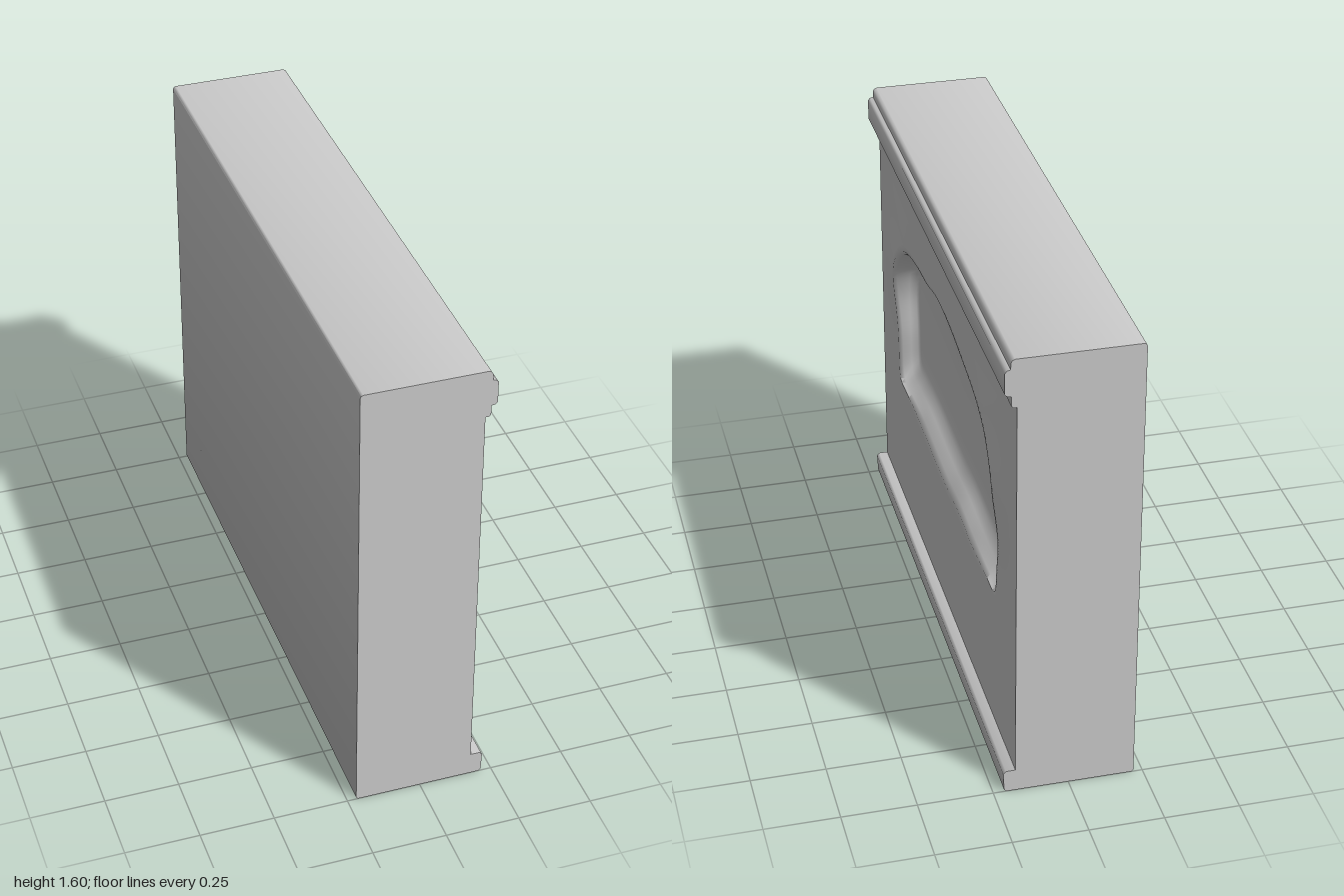
import * as THREE from 'three';
import { toCreasedNormals } from 'three/addons/utils/BufferGeometryUtils.js';

const WALL_X = 0.177, CORE_X = 0.08, NICHE_X = 0.1;
const Y0 = 0.07, Y1 = 1.445, CY = 0.88;

// Niche outline as [z, y], counter-clockwise seen from +x
const OUTLINE = [
  [0.7, 0.575], [0.6, 0.575], [0.4, 0.588], [0, 0.577], [-0.2, 0.588], [-0.4, 0.578], [-0.6, 0.58], [-0.71, 0.59],
  [-0.74, 0.7], [-0.765, 0.82], [-0.748, 0.95], [-0.73, 1.04], [-0.65, 1.12], [-0.5, 1.175], [-0.3, 1.21],
  [-0.1, 1.235], [0.07, 1.238], [0.2, 1.215], [0.36, 1.203], [0.5, 1.175], [0.62, 1.12], [0.7, 1.03],
  [0.73, 0.92], [0.72, 0.75], [0.714, 0.6]
];

// Moulded block: side profile in x, y extruded along z
function blockGeometry() {
  const s = new THREE.Shape([
    [-0.22, 0.006], [-0.214, 0], [0.207, 0], [0.214, 0.007], [0.217, 0.07], [0.208, 0.08], [CORE_X, 0.082],
    [CORE_X, 1.435], [0.188, 1.435], [0.195, 1.442], [0.195, 1.474], [0.208, 1.476], [0.215, 1.484],
    [0.215, 1.555], [0.208, 1.563], [0.197, 1.566], [0.197, 1.586], [0.192, 1.596], [0.183, 1.6],
    [-0.21, 1.6], [-0.217, 1.597], [-0.22, 1.59]
  ].map(p => new THREE.Vector2(...p)));
  const g = new THREE.ExtrudeGeometry(s, { depth: 2, bevelEnabled: false });
  g.translate(0, 0, -1);
  return toCreasedNormals(g, 0.9);
}

// Front wall: rings lofted from the niche floor over its lip to the wall edge
function wallGeometry() {
  const curve = new THREE.CatmullRomCurve3(
    OUTLINE.map(([z, y]) => new THREE.Vector3(0, y, z)), true, 'centripetal');
  const rim = curve.getSpacedPoints(160).slice(0, -1);
  const n = rim.length;

  // Project the rim outward to the rectangular edge, then snap to its corners
  const edge = rim.map(p => {
    const dy = p.y - CY, dz = p.z;
    const t = Math.min(1 / Math.max(Math.abs(dz), 1e-6), (dy > 0 ? Y1 - CY : Y0 - CY) / (dy || 1e-6));
    return new THREE.Vector3(0, CY + dy * t, dz * t);
  });
  for (const y of [Y0, Y1]) for (const z of [-1, 1]) {
    const c = new THREE.Vector3(0, y, z);
    let best = 0;
    edge.forEach((p, i) => { if (p.distanceTo(c) < edge[best].distanceTo(c)) best = i; });
    edge[best].copy(c);
  }

  // The wall swells gently around the upper half of the niche
  const lip = y => WALL_X + 0.019 * Math.exp(-(((y - 1.04) / 0.17) ** 2));
  const inset = (k, x) => rim.map(p => {
    const sill = THREE.MathUtils.clamp((0.72 - p.y) / 0.14, 0, 1);
    return new THREE.Vector3(x, CY + (p.y - CY) * (1 - 0.025 * k) + 0.04 * k * sill, p.z * (1 - 0.025 * k));
  });
  const outward = f => rim.map((p, i) => {
    const v = p.clone().lerp(edge[i], f);
    v.x = THREE.MathUtils.lerp(lip(p.y), WALL_X, THREE.MathUtils.smoothstep(f, 0, 1));
    return v;
  });
  const rings = [
    inset(2.4, NICHE_X), inset(1.5, NICHE_X + 0.003), inset(1, NICHE_X + 0.012), inset(0.55, 0.135),
    rim.map(p => new THREE.Vector3(lip(p.y) - 0.014, p.y, p.z)),
    ...[0.035, 0.09, 0.25, 0.45, 0.7, 1].map(outward),
    edge.map(p => new THREE.Vector3(CORE_X, p.y, p.z))
  ];

  const pos = [NICHE_X, CY, 0], idx = [];
  rings.forEach(r => r.forEach(p => pos.push(p.x, p.y, p.z)));
  for (let i = 0; i < n; i++) {
    const j = (i + 1) % n;
    idx.push(0, 1 + i, 1 + j);
    for (let r = 0; r < rings.length - 1; r++) {
      const a = 1 + r * n, b = a + n;
      idx.push(a + i, b + i, b + j, a + i, b + j, a + j);
    }
  }
  const g = new THREE.BufferGeometry();
  g.setAttribute('position', new THREE.Float32BufferAttribute(pos, 3));
  g.setIndex(idx);
  return toCreasedNormals(g, 1.1);
}

export function createModel() {
  const group = new THREE.Group();
  group.name = 'wallSection';
  const material = new THREE.MeshStandardMaterial({ color: 0xcccccc });
  const add = (name, geometry) => {
    const mesh = new THREE.Mesh(geometry, material);
    mesh.name = name;
    group.add(mesh);
  };
  add('mouldedBlock', blockGeometry());
  add('nicheWall', wallGeometry());
  return group;
}
